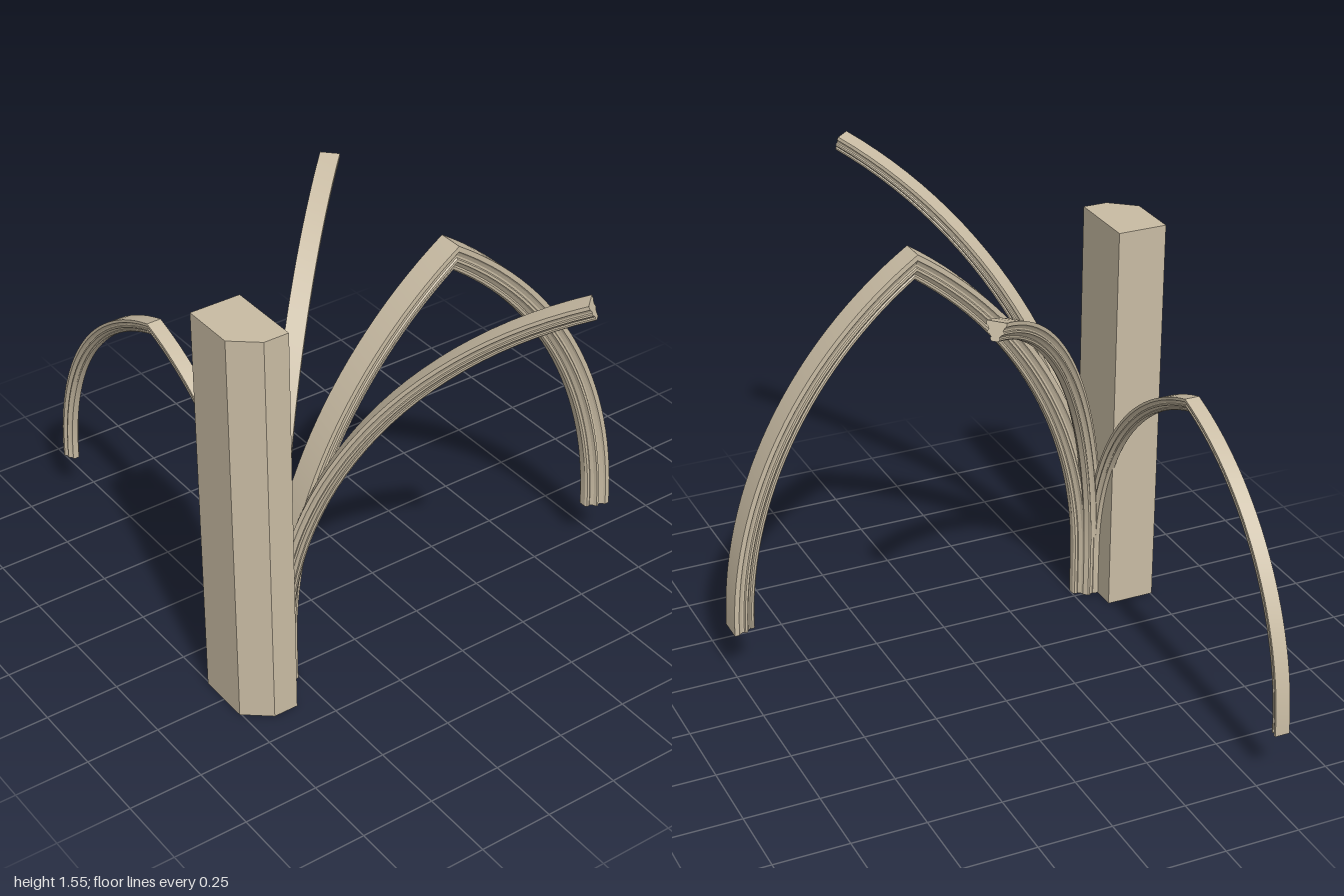
import * as THREE from 'three';

const SPRING = 0.165; // height where the curves begin
const SEGMENTS = 28;

// Half of the moulded rib section: [half width, depth], as fractions
const HALF = [[0.5, 0], [0.5, 0.2], [0.43, 0.26], [0.36, 0.38], [0.36, 0.46], [0.42, 0.5], [0.42, 0.6],
  [0.3, 0.66], [0.2, 0.78], [0.24, 0.84], [0.22, 0.94], [0.14, 1]];
const SECTION = [...HALF, ...HALF.map(([w, v]) => [-w, v]).reverse()];

// Sweeps the section up an optional leg and along an arc that rises to the crown
function ribGeometry({ span, crown, width, depth, leg, mitre }) {
  const rise = crown - SPRING;
  const R = (span * span + rise * rise) / (2 * span);
  const ring = (t) => SECTION.map(([w, v]) => {
    const r = R - depth * v;
    const a = t * Math.acos((R - span) / (mitre ? r : R));
    return [R - r * Math.cos(a), SPRING + r * Math.sin(a), w * width];
  });
  const rings = [];
  for (let i = 0; i <= SEGMENTS; i++) rings.push(ring(i / SEGMENTS));
  if (leg) rings.unshift(rings[0].map(([x, , z]) => [x, 0, z]));

  const pos = [], index = [];
  const n = SECTION.length;
  // One strip per section edge: crisp across the moulding, smooth along it
  for (let k = 0; k < n; k++) {
    const start = pos.length / 3;
    rings.forEach((r, i) => {
      pos.push(...r[k], ...r[(k + 1) % n]);
      if (i === 0) return;
      const a = start + 2 * (i - 1);
      index.push(a, a + 1, a + 2, a + 1, a + 3, a + 2);
    });
  }
  // End caps
  const faces = THREE.ShapeUtils.triangulateShape(SECTION.map(([w, v]) => new THREE.Vector2(v * depth, -w * width)), []);
  for (const [r, flip] of [[rings[0], true], [rings[rings.length - 1], false]]) {
    const start = pos.length / 3;
    r.forEach((p) => pos.push(...p));
    for (const [a, b, c] of faces) index.push(start + a, start + (flip ? c : b), start + (flip ? b : c));
  }
  const geo = new THREE.BufferGeometry();
  geo.setAttribute('position', new THREE.Float32BufferAttribute(pos, 3));
  geo.setIndex(index);
  geo.computeVertexNormals();
  return geo;
}

export function createModel() {
  const model = new THREE.Group();
  model.name = 'vaultRibs';
  const stone = new THREE.MeshStandardMaterial({ color: 0xc8bba3 });
  stone.name = 'stone';

  // Pier with one chamfered corner
  const outline = [[0.155, 0.755], [0.34, 0.755], [0.41, 0.67], [0.41, 0.585], [0.155, 0.585]];
  const pierGeo = new THREE.ExtrudeGeometry(
    new THREE.Shape(outline.map(([x, z]) => new THREE.Vector2(x, -z))), { depth: 1.39, bevelEnabled: false });
  pierGeo.rotateX(-Math.PI / 2);
  const pier = new THREE.Mesh(pierGeo, stone);
  pier.name = 'pier';
  model.add(pier);

  // Ribs springing from one point behind the pier; full ones come down again on the far side
  function addRib(name, dx, dz, opts, full) {
    const rib = new THREE.Group();
    rib.name = name;
    rib.position.set(0.282, 0, 0.582);
    rib.rotation.y = Math.atan2(-dz, dx);
    const near = new THREE.Mesh(ribGeometry({ ...opts, leg: true, mitre: full }), stone);
    near.name = name + 'Near';
    rib.add(near);
    if (full) {
      const far = new THREE.Mesh(ribGeometry({ ...opts, leg: false, mitre: true }), stone);
      far.name = name + 'Far';
      far.position.x = 2 * opts.span;
      far.rotation.y = Math.PI;
      rib.add(far);
    }
    model.add(rib);
  }
  addRib('transverseArch', 0, -1, { span: 0.668, crown: 1.402, width: 0.086, depth: 0.08 }, true);
  addRib('wallArch', -1, 0, { span: 0.641, crown: 1.033, width: 0.05, depth: 0.045 }, true);
  addRib('rightDiagonalRib', -0.688, -0.726, { span: 0.925, crown: 1.42, width: 0.064, depth: 0.06 }, false);
  addRib('leftDiagonalRib', 0.74, -0.673, { span: 0.93, crown: 1.552, width: 0.064, depth: 0.06 }, false);
  return model;
}
